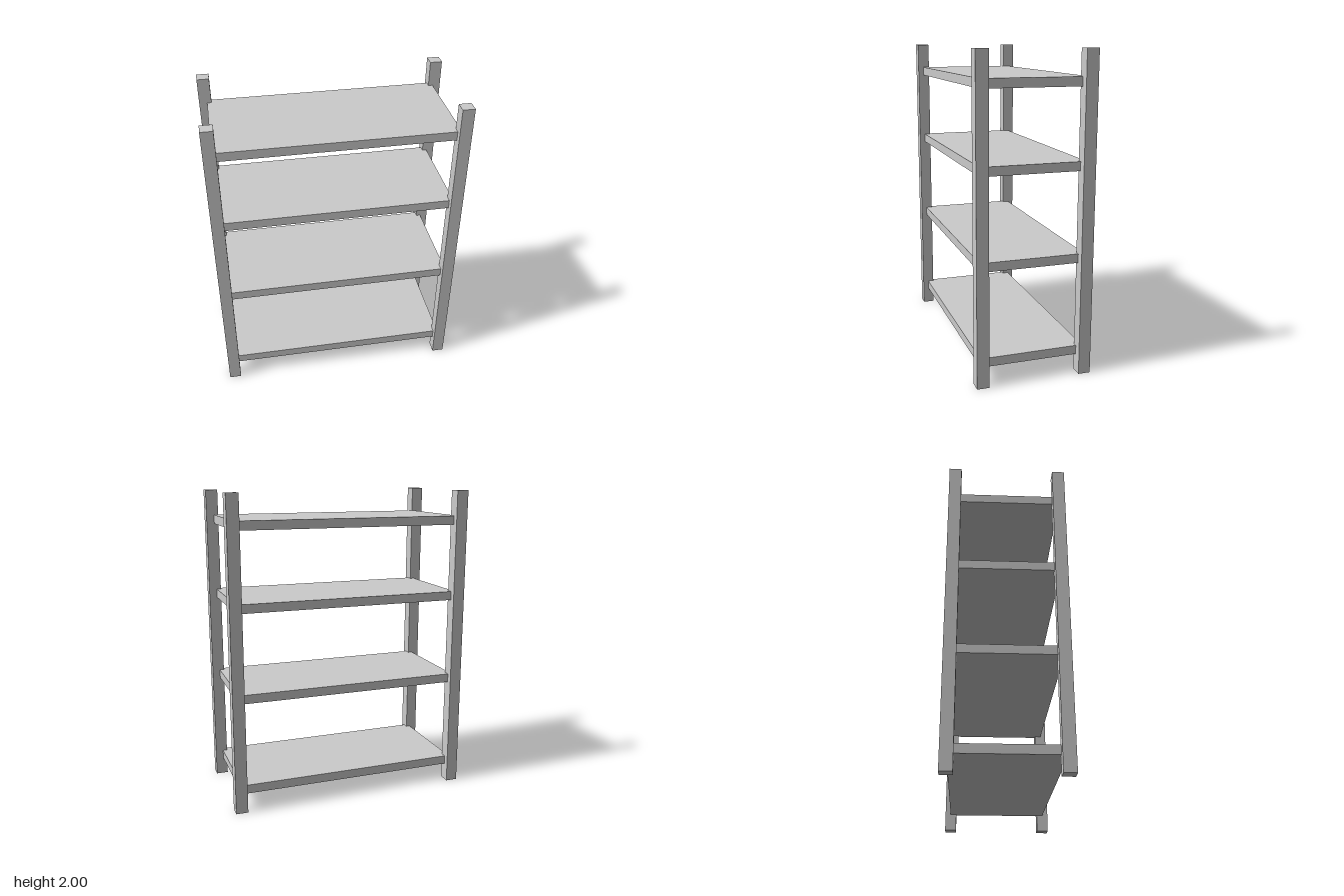
import * as THREE from 'three';

export function createModel() {
  const group = new THREE.Group();
  const material = new THREE.MeshStandardMaterial({ color: 0xcccccc, flatShading: true });

  const addBox = (name, size, position) => {
    const mesh = new THREE.Mesh(new THREE.BoxGeometry(...size), material);
    mesh.name = name;
    mesh.position.set(...position);
    group.add(mesh);
  };

  // Four square corner posts
  for (const [side, x] of [['Left', 1], ['Right', -1]]) {
    for (const [end, z] of [['front', 1], ['back', -1]]) {
      addBox(`${end}${side}Post`, [0.077, 2, 0.077], [x * 0.749, 1, z * 0.33]);
    }
  }

  // Shelf boards, notched into the posts by overlapping them
  [0.142, 0.742, 1.312, 1.809].forEach((y, i) => {
    addBox(`shelf${i + 1}`, [1.476, 0.057, 0.664], [0, y, 0]);
  });

  return group;
}
